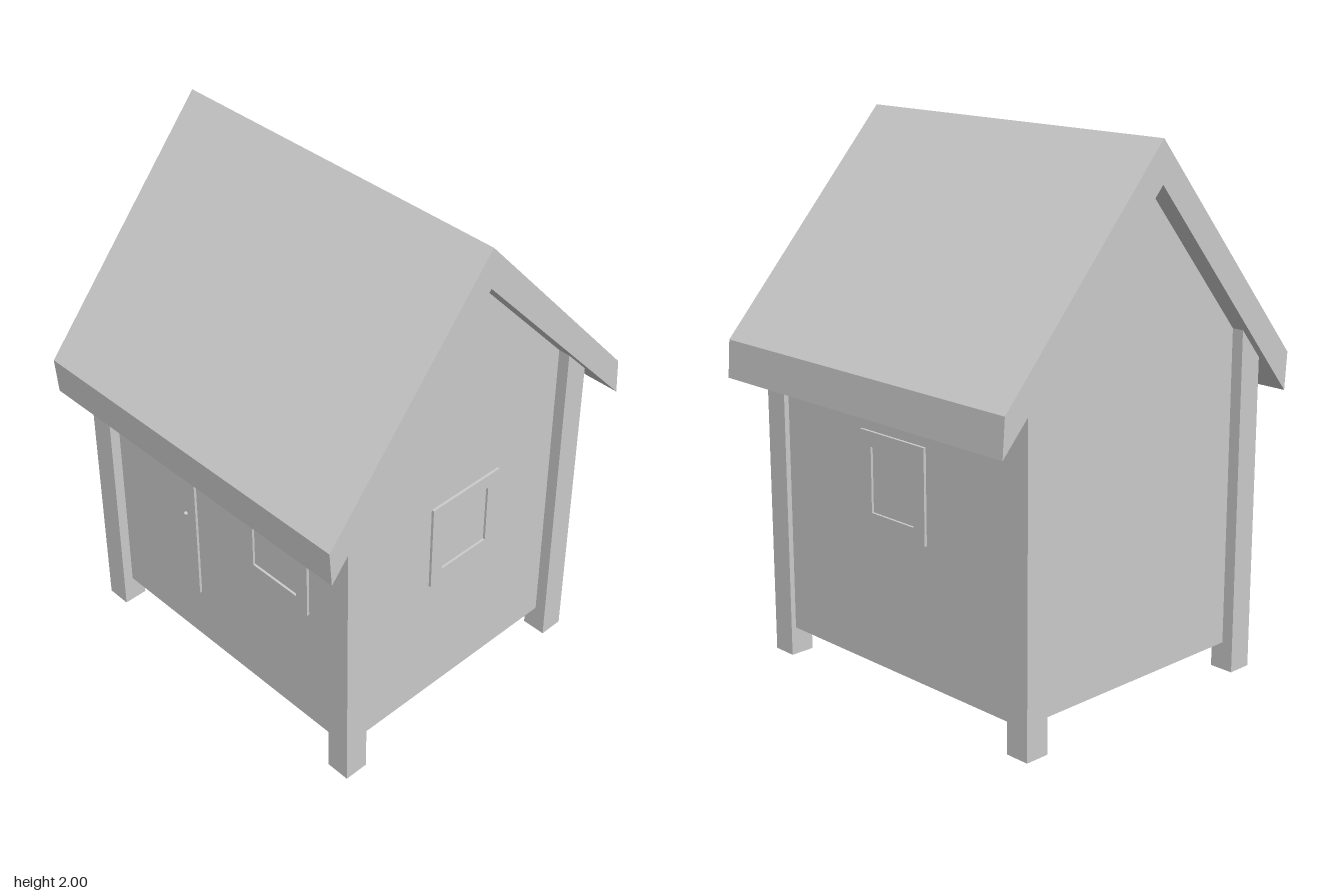
import * as THREE from 'three';

const material = new THREE.MeshStandardMaterial({ color: 0xcccccc, flatShading: true, side: THREE.DoubleSide });

// Height of the roof's underside at depth z
const RIDGE_Z = 0.015;
const underside = z => 1.85 - (z > RIDGE_Z ? (z - RIDGE_Z) * 1.182 : (RIDGE_Z - z) * 1.076);

function add(parent, name, geometry, x = 0, y = 0, z = 0) {
  const mesh = new THREE.Mesh(geometry, material);
  mesh.name = name;
  mesh.position.set(x, y, z);
  parent.add(mesh);
  return mesh;
}

// Extrudes a [z, y] profile along x, from x0 to x1
function extrudeX(profile, x0, x1) {
  const shape = new THREE.Shape(profile.map(([z, y]) => new THREE.Vector2(-z, y)));
  return new THREE.ExtrudeGeometry(shape, { depth: x1 - x0, bevelEnabled: false })
    .rotateY(Math.PI / 2).translate(x0, 0, 0);
}

// Upright block whose top follows the roof slope
const underRoof = (x0, x1, z0, z1, base) =>
  extrudeX([[z0, base], [z1, base], [z1, underside(z1)], [z0, underside(z0)]], x0, x1);

// Square frame around a recessed pane, facing +z before it is turned
function createWindow(name) {
  const w = 0.33, h = 0.35, border = 0.055, depth = 0.03;
  const rect = (path, a, b) => path.moveTo(-a, -b).lineTo(a, -b).lineTo(a, b).lineTo(-a, b).closePath();
  const frame = rect(new THREE.Shape(), w / 2, h / 2);
  frame.holes.push(rect(new THREE.Path(), w / 2 - border, h / 2 - border));
  const group = new THREE.Group();
  group.name = name;
  add(group, 'windowFrame', new THREE.ExtrudeGeometry(frame, { depth, bevelEnabled: false })
    .translate(0, 0, -depth / 2));
  add(group, 'windowPane', new THREE.BoxGeometry(w - 2 * border, h - 2 * border, 0.012));
  return group;
}

export function createModel() {
  const house = new THREE.Group();
  house.name = 'playhouse';

  // Gabled roof
  add(house, 'roof', extrudeX([
    [0.71, 1.18], [0.015, 2.0], [-0.695, 1.215], [-0.705, 1.075], [RIDGE_Z, 1.85], [0.70, 1.04],
  ], -0.71, 0.71));

  // Corner posts, cut to the roof slope
  for (const [side, x0] of [['Right', -0.68], ['Left', 0.57]]) {
    add(house, 'frontPost' + side, underRoof(x0, x0 + 0.095, 0.49, 0.585, 0));
    add(house, 'backPost' + side, underRoof(x0, x0 + 0.095, -0.565, -0.47, 0));
  }

  // Thin walls, open underneath
  const base = 0.105, t = 0.01, front = 0.54, back = -0.54, left = 0.615, right = -0.63;
  add(house, 'frontWall', underRoof(right, left, front - t / 2, front + t / 2, base));
  add(house, 'backWall', underRoof(right, left, back - t / 2, back + t / 2, base));
  const gable = [[front, base], [front, underside(front)], [RIDGE_Z, 1.85], [back, underside(back)], [back, base]];
  add(house, 'leftWall', extrudeX(gable, left - t / 2, left + t / 2));
  add(house, 'rightWall', extrudeX(gable, right - t / 2, right + t / 2));

  // Door with a small knob
  add(house, 'door', new THREE.BoxGeometry(0.33, 0.65, 0.03), -0.315, 0.655, front);
  add(house, 'doorKnob', new THREE.SphereGeometry(0.008, 10, 8), -0.2, 0.69, front + 0.019);

  // Windows in the front, back and left walls
  const frontWindow = createWindow('frontWindow');
  frontWindow.position.set(0.27, 0.795, front);
  const backWindow = createWindow('backWindow');
  backWindow.position.set(-0.01, 0.795, back);
  backWindow.rotation.y = Math.PI;
  const leftWindow = createWindow('leftWindow');
  leftWindow.position.set(left, 0.795, -0.018);
  leftWindow.rotation.y = Math.PI / 2;
  house.add(frontWindow, backWindow, leftWindow);

  return house;
}
